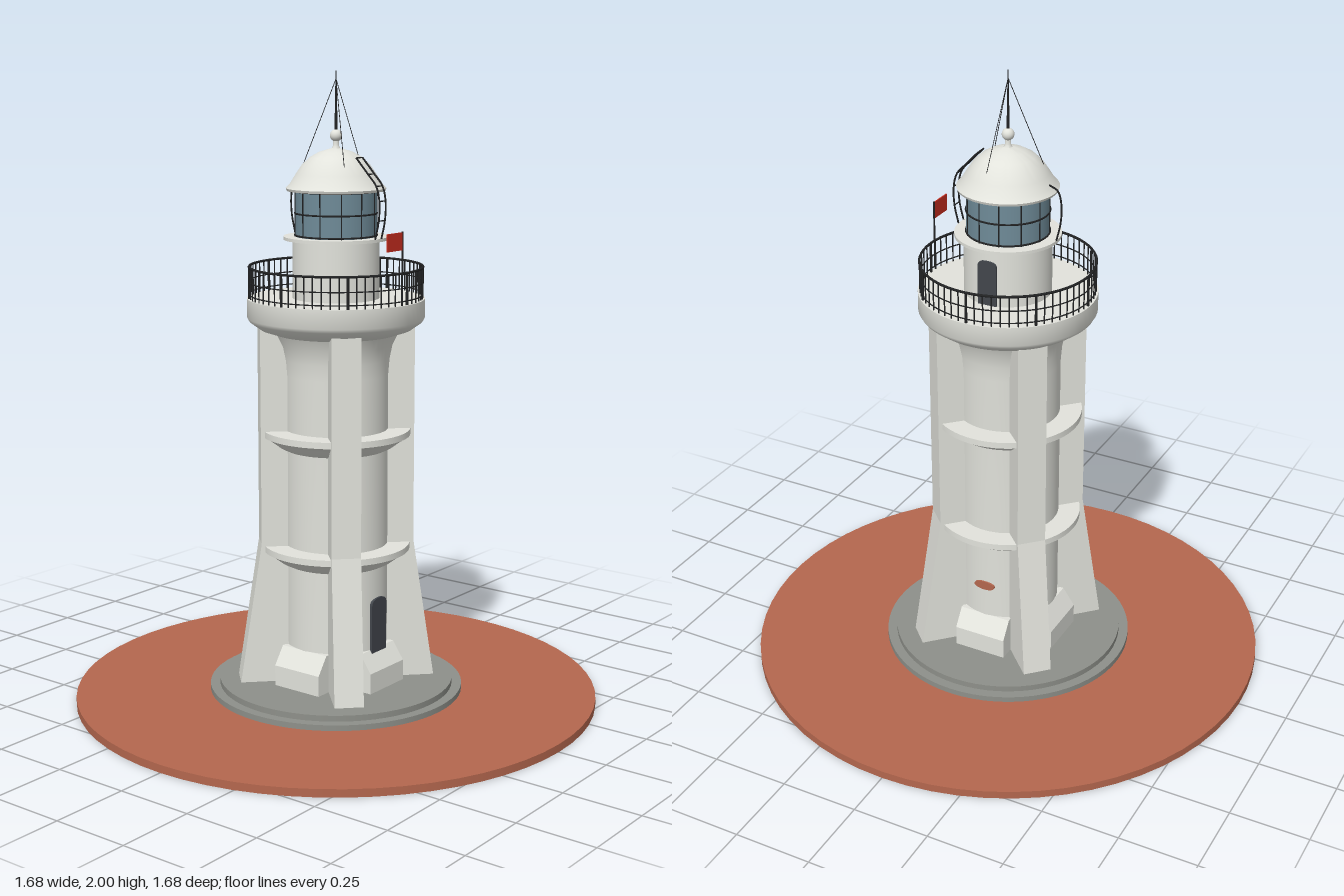
import * as THREE from 'three';
import { toCreasedNormals } from 'three/addons/utils/BufferGeometryUtils.js';

const material = (name, color, side = THREE.FrontSide) => {
  const m = new THREE.MeshStandardMaterial({ color, side });
  m.name = name;
  return m;
};

export function createModel() {
  const model = new THREE.Group();
  model.name = 'lighthouse';
  const white = material('white masonry', 0xe2e3dc);
  const stone = material('grey stone', 0x8e908a);
  const earth = material('red earth', 0xb4674e);
  const glass = material('lantern glass', 0x6f8b98);
  const iron = material('black iron', 0x222324);
  const door = material('dark door', 0x42464c);
  const red = material('flag red', 0xcc2e20, THREE.DoubleSide);

  const add = (name, geometry, mat, parent = model) => {
    const mesh = new THREE.Mesh(geometry, mat);
    mesh.name = name;
    parent.add(mesh);
    return mesh;
  };
  const group = (name) => {
    const g = new THREE.Group();
    g.name = name;
    model.add(g);
    return g;
  };
  // Revolved [radius, height] profile, listed from bottom to top
  const lathe = (name, points, mat, segments = 64) =>
    add(name, toCreasedNormals(new THREE.LatheGeometry(points.map(p => new THREE.Vector2(...p)), segments), 0.6), mat);
  const drum = (name, r, y0, y1, mat) =>
    add(name, new THREE.CylinderGeometry(r, r, y1 - y0, 64), mat).position.setY((y0 + y1) / 2);
  const ring = (name, r, y, t, parent) => {
    const mesh = add(name, new THREE.TorusGeometry(r, t, 6, 64), iron, parent);
    mesh.rotation.x = Math.PI / 2;
    mesh.position.y = y;
  };
  const tube = (name, points, r, parent) => {
    const curve = new THREE.CatmullRomCurve3(points.map(p => new THREE.Vector3(...p)));
    return add(name, new THREE.TubeGeometry(curve, 20, r, 6), iron, parent);
  };
  // Thin plate in the xy plane with its base at the origin
  const archPlate = (width, height) => {
    const w = width / 2, rise = w * 0.6;
    const s = new THREE.Shape();
    s.moveTo(-w, 0).lineTo(w, 0).lineTo(w, height - rise);
    s.quadraticCurveTo(w, height, 0, height).quadraticCurveTo(-w, height, -w, height - rise);
    return new THREE.ExtrudeGeometry(s, { depth: 0.009, bevelEnabled: false });
  };

  // Ground and stepped plinth
  drum('ground', 0.84, 0, 0.025, earth);
  drum('lowerPlinth', 0.408, 0.025, 0.043, stone);
  drum('upperPlinth', 0.377, 0.043, 0.062, stone);

  // Round shaft flaring into the gallery slab
  lathe('shaft', [
    [0.166, 0.06], [0.166, 1.06], [0.17, 1.11], [0.179, 1.155], [0.196, 1.19], [0.24, 1.205],
    [0.272, 1.228], [0.279, 1.24], [0.279, 1.3], [0, 1.3],
  ], white);

  // Ledges around the shaft
  for (const y of [0.512, 0.885]) {
    lathe('ledge', [[0.165, y - 0.065], [0.185, y - 0.055], [0.21, y - 0.036], [0.23, y - 0.022],
      [0.236, y - 0.02], [0.236, y], [0.165, y]], white);
  }

  // Four diagonal buttresses with splayed feet
  const side = new THREE.Shape([[0.1, 0.06], [0.314, 0.06], [0.244, 0.52], [0.244, 1.21], [0.1, 1.21]]
    .map(p => new THREE.Vector2(...p)));
  const buttressGeometry = new THREE.ExtrudeGeometry(side, { depth: 0.092, bevelEnabled: false });
  buttressGeometry.translate(0, 0, -0.046);
  // Sloped blocks between the buttress feet
  const blockSide = new THREE.Shape([[0.1, 0.06], [0.205, 0.06], [0.205, 0.128], [0.165, 0.185], [0.1, 0.185]]
    .map(p => new THREE.Vector2(...p)));
  const blockGeometry = new THREE.ExtrudeGeometry(blockSide, { depth: 0.176, bevelEnabled: false });
  blockGeometry.translate(0, 0, -0.088);
  for (let i = 0; i < 4; i++) {
    add('buttress', buttressGeometry, white).rotation.y = Math.PI / 4 + i * Math.PI / 2;
    add('footBlock', blockGeometry, white).rotation.y = i * Math.PI / 2;
  }

  // Entrance door and wall plaque
  const entrance = add('entranceDoor', archPlate(0.076, 0.185), door);
  entrance.position.set(0.163, 0.168, -0.002);
  entrance.rotation.y = Math.PI / 2;
  const plaque = add('plaque', new THREE.CylinderGeometry(0.036, 0.036, 0.008, 24), earth);
  plaque.rotation.x = Math.PI / 2;
  plaque.scale.z = 0.42;
  plaque.position.set(0, 0.3, -0.167);

  // Gallery railing
  const railing = group('railing');
  for (const [y, t] of [[1.398, 0.004], [1.352, 0.002], [1.312, 0.002]]) ring('rail', 0.272, y, t, railing);
  const bars = 64;
  for (let i = 0; i < bars; i++) {
    const a = i / bars * Math.PI * 2;
    const r = i % 8 === 0 ? 0.004 : 0.0022;
    add('baluster', new THREE.CylinderGeometry(r, r, 0.1, 6), iron, railing)
      .position.set(Math.cos(a) * 0.272, 1.349, Math.sin(a) * 0.272);
  }

  // Flag on the railing
  add('flagPole', new THREE.CylinderGeometry(0.003, 0.003, 0.225, 8), iron).position.set(0.275, 1.413, 0.03);
  add('flag', new THREE.BoxGeometry(0.004, 0.054, 0.08), red).position.set(0.275, 1.497, 0.07);

  // Watch room with its door and ledge
  drum('watchRoom', 0.136, 1.3, 1.485, white);
  drum('lanternLedge', 0.164, 1.483, 1.493, white);
  const watchDoor = add('watchRoomDoor', archPlate(0.062, 0.145), door);
  watchDoor.position.set(0, 1.302, -0.131);
  watchDoor.rotation.y = Math.PI;

  // Lantern glazing
  drum('lanternGlass', 0.127, 1.493, 1.64, glass);
  const frame = group('lanternFrame');
  for (const y of [1.497, 1.565, 1.633]) ring('glazingRing', 0.128, y, 0.003, frame);
  for (let i = 0; i < 12; i++) {
    const a = (i + 0.5) / 12 * Math.PI * 2;
    add('glazingBar', new THREE.CylinderGeometry(0.002, 0.002, 0.147, 6), iron, frame)
      .position.set(Math.cos(a) * 0.128, 1.5665, Math.sin(a) * 0.128);
  }

  // Dome, finial ball and spire
  lathe('dome', [
    [0, 1.634], [0.153, 1.634], [0.156, 1.642], [0.143, 1.656], [0.125, 1.685], [0.106, 1.713],
    [0.082, 1.736], [0.052, 1.753], [0.025, 1.761], [0.013, 1.764], [0.009, 1.772], [0.009, 1.79],
  ], white);
  add('finialBall', new THREE.SphereGeometry(0.019, 24, 16), white).position.y = 1.803;
  add('spire', new THREE.CylinderGeometry(0.0015, 0.005, 0.185, 8), iron).position.y = 1.9075;

  // Guy wires from the spire to the dome
  const wires = group('guyWires');
  for (const [x, z] of [[0.017, -0.105], [-0.1, 0.038], [0.083, 0.067]]) {
    tube('guyWire', [[0, 1.975, 0], [x / 2, 1.843, z / 2], [x, 1.711, z]], 0.0011, wires);
  }

  // Ladder over the dome on one side, single grab rail on the other
  const ladder = group('domeLadder');
  const path = [[0.163, 1.493], [0.176, 1.55], [0.178, 1.61], [0.166, 1.655], [0.135, 1.69], [0.09, 1.738]];
  for (const z of [-0.016, 0.016]) tube('ladderRail', path.map(([x, y]) => [x, y, z]), 0.0028, ladder);
  for (const [x, y] of path.slice(1)) {
    const rung = add('rung', new THREE.CylinderGeometry(0.002, 0.002, 0.032, 6), iron, ladder);
    rung.rotation.x = Math.PI / 2;
    rung.position.set(x, y, 0);
  }
  tube('grabRail', [[-0.163, 1.493, 0], [-0.176, 1.55, 0], [-0.178, 1.61, 0], [-0.166, 1.652, 0], [-0.137, 1.666, 0]], 0.0028, model);

  return model;
}
